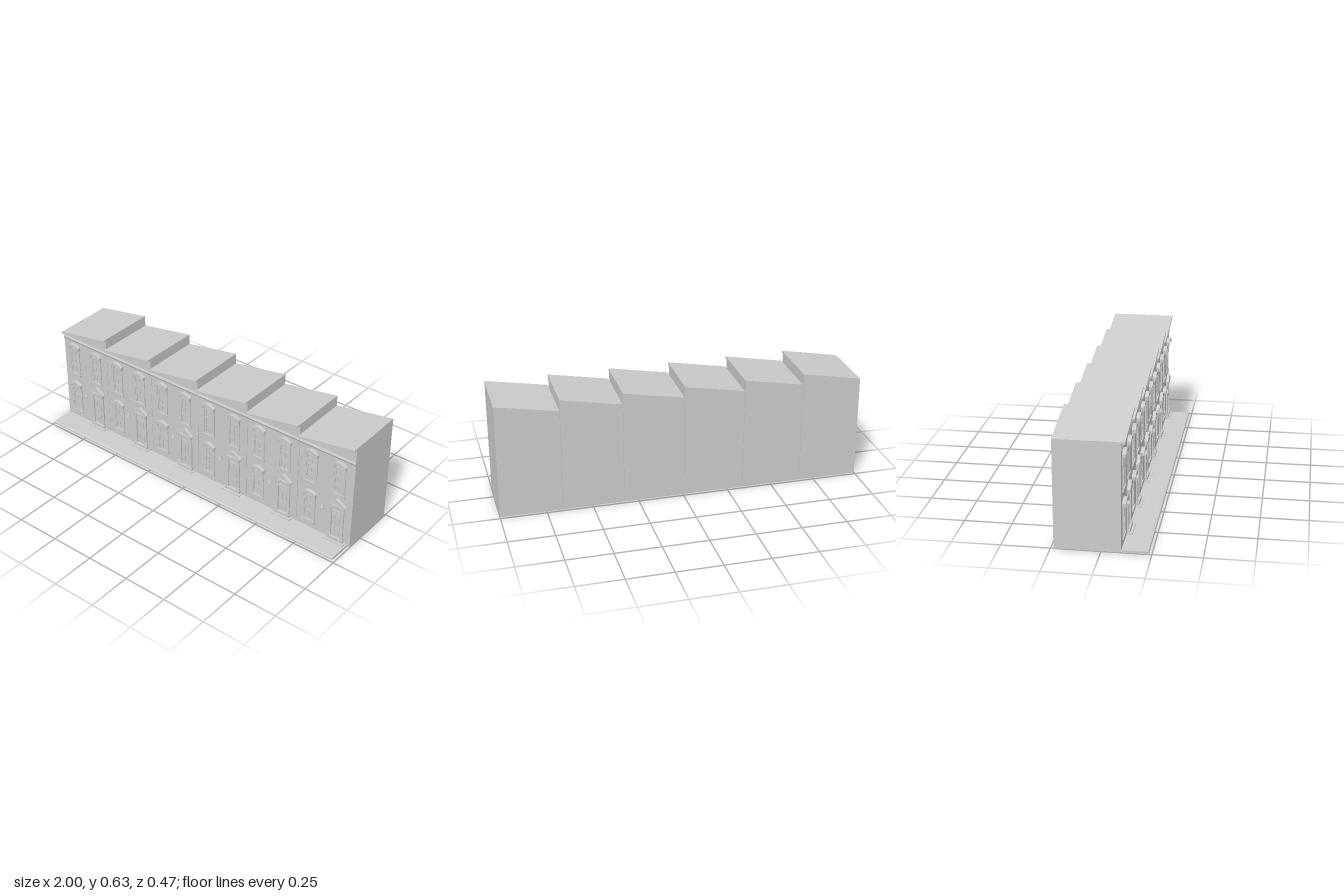
import * as THREE from 'three';

const material = new THREE.MeshStandardMaterial({ color: 0xcccccc, flatShading: true });
const WALL = 0.1, BACK = -0.235;

function add(group, name, geometry, x = 0, y = 0, z = 0) {
  const mesh = new THREE.Mesh(geometry, material);
  mesh.name = name;
  mesh.position.set(x, y, z);
  group.add(mesh);
  return mesh;
}

// Box given by its centre x, bottom and top y, and how far it stands out from the wall
function wallBox(group, name, x, w, y0, y1, front) {
  const z0 = WALL - 0.004;
  return add(group, name, new THREE.BoxGeometry(w, y1 - y0, front - z0), x, (y0 + y1) / 2, (front + z0) / 2);
}

// Outline in the xy plane, extruded from z0 to z1
function slab(points, z0, z1) {
  const shape = new THREE.Shape(points.map(p => new THREE.Vector2(...p)));
  const g = new THREE.ExtrudeGeometry(shape, { depth: z1 - z0, bevelEnabled: false });
  return g.translate(0, 0, z0);
}

// Profile in (z, y), extruded along x
function moulding(points, x0, x1) {
  const shape = new THREE.Shape(points.map(([z, y]) => new THREE.Vector2(-z, y)));
  const g = new THREE.ExtrudeGeometry(shape, { depth: x1 - x0, bevelEnabled: false });
  return g.rotateY(Math.PI / 2).translate(x0, 0, 0);
}

// Segmental arch hood with square feet
function hood() {
  const outer = [], inner = [];
  for (let i = 0; i <= 10; i++) {
    const t = i / 5 - 1;
    outer.push([t * 0.042, 0.018 + 0.017 * (1 - t * t)]);
    inner.push([-t * 0.031, 0.008 + 0.012 * (1 - t * t)]);
  }
  return slab([[-0.042, 0], ...outer, [0.042, 0], [0.031, 0], ...inner, [-0.031, 0]], WALL - 0.004, 0.12);
}

// Sash window with hood, frame, glazing bars and sill; y is the sill's underside
function makeWindow(x, y, height) {
  const g = new THREE.Group();
  g.name = 'window';
  const y0 = y + 0.013, y1 = y + height;
  wallBox(g, 'sill', x, 0.08, y, y0, 0.108);
  add(g, 'archHood', hood(), x, y1);
  for (const s of [-1, 1]) {
    wallBox(g, 'frameSide', x + s * 0.033, 0.008, y0, y1 + 0.008, 0.105);
    wallBox(g, 'sashSide', x + s * 0.025, 0.007, y0, y1 + 0.01, 0.103);
  }
  for (const t of [0.04, 0.33, 0.64, 0.96]) {
    const yc = y0 + (y1 - y0) * t;
    wallBox(g, 'sashBar', x, 0.058, yc - 0.003, yc + 0.003, 0.1025);
  }
  wallBox(g, 'mullion', x, 0.004, y0, y1 + 0.016, 0.102);
  return g;
}

// Panelled door with pilasters, pediment and two steps
function makeDoor(x) {
  const g = new THREE.Group();
  g.name = 'door';
  wallBox(g, 'lowerStep', x, 0.125, 0, 0.018, 0.13);
  wallBox(g, 'upperStep', x, 0.1, 0.018, 0.034, 0.116);
  wallBox(g, 'doorLeaf', x, 0.054, 0.034, 0.195, 0.102);
  for (const s of [-1, 1]) {
    wallBox(g, 'pilaster', x + s * 0.037, 0.014, 0.034, 0.228, 0.108);
    wallBox(g, 'pilasterBase', x + s * 0.037, 0.018, 0.034, 0.046, 0.111);
    wallBox(g, 'lowerPanel', x + s * 0.013, 0.016, 0.05, 0.098, 0.104);
    wallBox(g, 'upperPanel', x + s * 0.013, 0.016, 0.112, 0.185, 0.104);
  }
  wallBox(g, 'transomBar', x, 0.06, 0.195, 0.202, 0.105);
  wallBox(g, 'lintel', x, 0.092, 0.227, 0.245, 0.116);
  add(g, 'tympanum', slab([[-0.044, 0.245], [0.044, 0.245], [0, 0.272]], WALL - 0.004, 0.109), x);
  const rake = [[-0.054, 0.245], [-0.04, 0.245], [0, 0.272], [0.04, 0.245], [0.054, 0.245], [0.054, 0.251], [0, 0.285], [-0.054, 0.251]];
  add(g, 'pediment', slab(rake, WALL - 0.004, 0.118), x);
  return g;
}

// Small wall lantern
function makeLamp(x) {
  const g = new THREE.Group();
  g.name = 'lamp';
  add(g, 'lampCap', new THREE.ConeGeometry(0.01, 0.025, 10), x, 0.207, 0.115);
  add(g, 'lampGlass', new THREE.SphereGeometry(0.007, 10, 6), x, 0.189, 0.115);
  wallBox(g, 'lampBracket', x, 0.005, 0.195, 0.2, 0.112);
  return g;
}

function makeHouse(x0, x1) {
  const g = new THREE.Group();
  g.name = 'house';
  const low = 0.575, high = 0.635, w = x1 - x0;
  // Body with a single-pitch roof rising to the right
  add(g, 'body', slab([[x0, 0], [x1, 0], [x1, high], [x0, low]], BACK, WALL));
  // Sloping eaves board
  const eaves = [[x0, low - 0.011], [x1, high - 0.011], [x1, high], [x0, low]];
  add(g, 'eavesBoard', slab(eaves, WALL - 0.004, 0.12));
  // String course under the gable
  add(g, 'stringCourse', moulding([[0.098, 0.528], [0.101, 0.528], [0.106, 0.54], [0.101, 0.551], [0.098, 0.551]], x0, x1));

  const left = x0 + w * 0.235, right = x0 + w * 0.74;
  g.add(makeWindow(left, 0.302, 0.181), makeWindow(right, 0.302, 0.181));
  g.add(makeWindow(left, 0.05, 0.177));
  g.add(makeDoor(right), makeLamp(x0 + w * 0.49));
  return g;
}

export function createModel() {
  const model = new THREE.Group();
  model.name = 'terraceRow';
  // Hairline joints separate neighbouring houses
  const edges = [-1, -0.67, -0.34, -0.008, 0.327, 0.661, 1.002];
  for (let i = 0; i < 6; i++) model.add(makeHouse(edges[i], edges[i + 1] - 0.002));

  // Pavement with a rounded kerb
  const kerb = [[0.1, 0], [0.235, 0], [0.235, 0.006], [0.233, 0.01], [0.23, 0.012], [0.226, 0.013], [0.1, 0.013]];
  add(model, 'pavement', moulding(kerb, -1, 0.985));
  return model;
}
